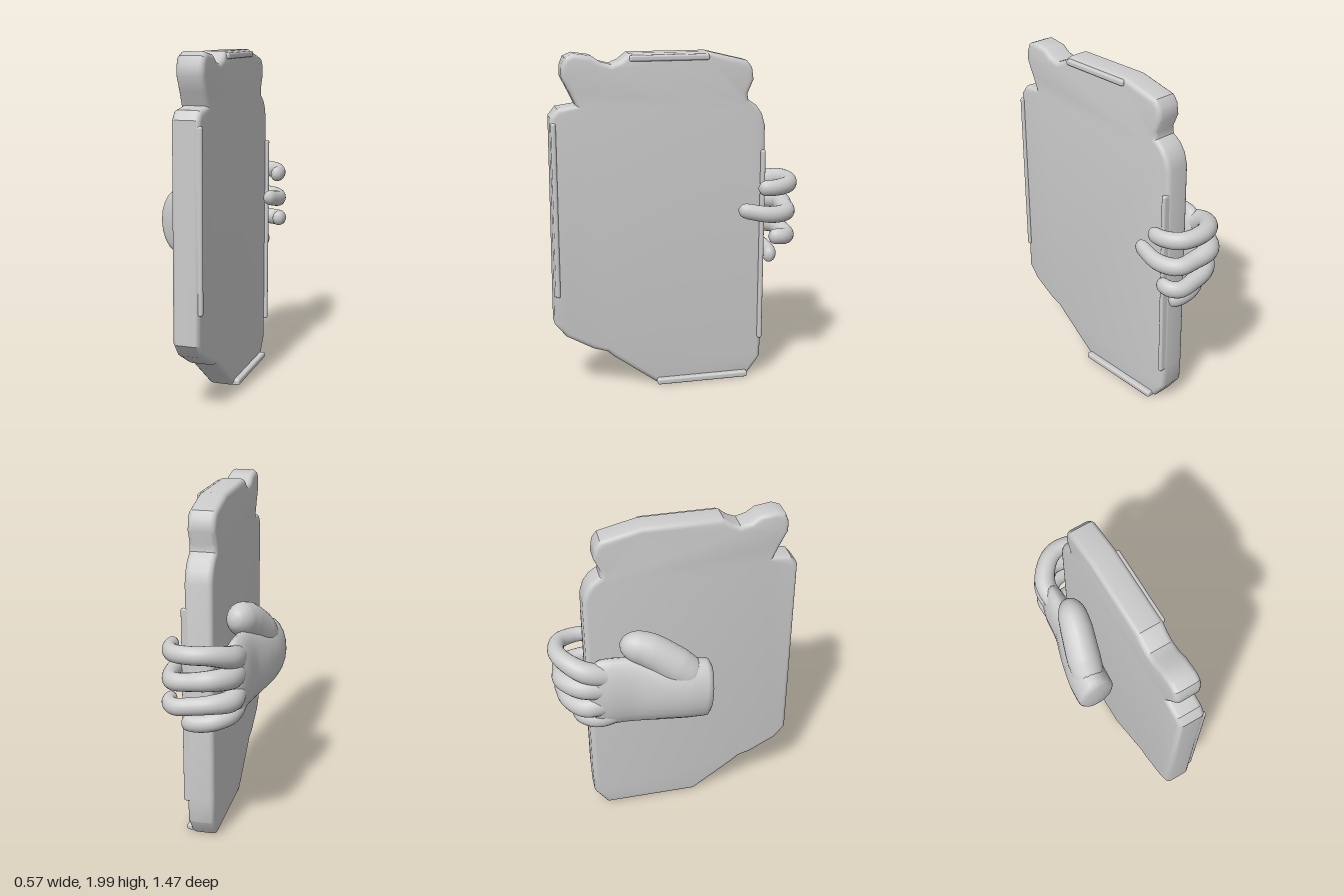
import * as THREE from 'three';
import { mergeVertices, toCreasedNormals } from 'three/addons/utils/BufferGeometryUtils.js';
import { RoundedBoxGeometry } from 'three/addons/geometries/RoundedBoxGeometry.js';

const material = new THREE.MeshStandardMaterial({ color: 0xcccccc });

function part(name, geometry) {
  const mesh = new THREE.Mesh(geometry, material);
  mesh.name = name;
  return mesh;
}

// Smooth limb along a path: radii are [horizontal, vertical] pairs spread evenly
// along the length, cap is the share of the length used to round each end
function limb(name, points, radii, cap = [0.05, 0.1]) {
  const path = new THREE.CatmullRomCurve3(points.map((p) => new THREE.Vector3(...p)));
  const rings = 40, sides = 20;
  const geometry = new THREE.TubeGeometry(path, rings, 1, sides);
  const pos = geometry.attributes.position;
  const v = new THREE.Vector3();
  for (let i = 0; i <= rings; i++) {
    const t = i / rings;
    const centre = path.getPointAt(t);
    const f = Math.min(t * (radii.length - 1), radii.length - 1.0001);
    const k = Math.floor(f);
    const mix = (n) => THREE.MathUtils.lerp(radii[k][n], radii[k + 1][n], f - k);
    const d = Math.max(1 - t / cap[0], 1 - (1 - t) / cap[1], 0);
    const round = Math.sqrt(Math.max(0, 1 - d * d));
    for (let j = 0; j <= sides; j++) {
      const n = i * (sides + 1) + j;
      v.fromBufferAttribute(pos, n).sub(centre);
      v.set(v.x * mix(0), v.y * mix(1), v.z * mix(0)).multiplyScalar(round).add(centre);
      pos.setXYZ(n, v.x, v.y, v.z);
    }
  }
  geometry.deleteAttribute('uv');
  geometry.deleteAttribute('normal');
  const merged = mergeVertices(geometry, 1e-4);
  merged.computeVertexNormals();
  return part(name, merged);
}

// Worn slab: outline points are [-z, y]
function slab() {
  const outline = [
    [-0.66, 1.93], [-0.64, 1.98], [-0.59, 2], [-0.49, 1.985], [-0.44, 1.95], [-0.38, 1.935],
    [-0.33, 1.955], [-0.28, 1.995], [0.18, 1.995], [0.41, 1.94], [0.44, 1.9], [0.45, 1.83],
    [0.415, 1.75], [0.42, 1.715], [0.47, 1.68], [0.505, 1.63], [0.525, 1.56], [0.525, 0.27],
    [0.52, 0.12], [0.44, 0.01], [-0.13, 0.01], [-0.39, 0.2], [-0.43, 0.235], [-0.51, 0.26],
    [-0.67, 0.35], [-0.735, 0.43], [-0.73, 1.65], [-0.69, 1.7], [-0.585, 1.715], [-0.62, 1.79],
    [-0.66, 1.87],
  ];
  const shape = new THREE.Shape(outline.map(([u, y]) => new THREE.Vector2(u, y)));
  const geometry = new THREE.ExtrudeGeometry(shape, {
    depth: 0.1, bevelThickness: 0.03, bevelSize: 0.028, bevelOffset: -0.028, bevelSegments: 4,
  });
  geometry.rotateY(Math.PI / 2).translate(0.038, 0, 0);
  return part('slab', toCreasedNormals(geometry, 0.6));
}

// Raised lip along one straight edge of the slab
function lip(name, y0, y1, z0, z1, top) {
  const geometry = new RoundedBoxGeometry(top - 0.1, y1 - y0, z1 - z0, 3, 0.012);
  geometry.translate((top + 0.1) / 2, (y0 + y1) / 2, (z0 + z1) / 2);
  return part(name, geometry);
}

function hand() {
  const group = new THREE.Group();
  group.name = 'hand';

  // Palm runs from the cut wrist to the knuckles
  group.add(limb('palm',
    [[-0.165, 0.99, 0.195], [-0.16, 1, 0.05], [-0.135, 1.0, -0.12], [-0.11, 1.01, -0.28],
      [-0.1, 1.01, -0.42], [-0.08, 1.01, -0.56]],
    [[0.115, 0.195], [0.115, 0.205], [0.105, 0.21], [0.085, 0.23], [0.08, 0.235], [0.06, 0.22]],
    [0.06, 0.14]));
  group.add(limb('thumb',
    [[-0.17, 1.05, 0.12], [-0.14, 1.17, -0.03], [-0.1, 1.27, -0.18], [-0.065, 1.32, -0.34]],
    [[0.09, 0.1], [0.1, 0.12], [0.095, 0.11], [0.075, 0.085]], [0.2, 0.2]));

  // Fingers curl round the back edge of the slab
  const fingers = [
    ['indexFinger', [[-0.1, 1.12, -0.38], [-0.1, 1.17, -0.55], [-0.01, 1.21, -0.66],
      [0.08, 1.215, -0.69], [0.19, 1.21, -0.66], [0.24, 1.205, -0.57], [0.24, 1.205, -0.46]]],
    ['middleFinger', [[-0.1, 1.04, -0.38], [-0.1, 1.06, -0.57], [-0.01, 1.07, -0.67],
      [0.1, 1.055, -0.67], [0.2, 1.045, -0.65], [0.245, 1.045, -0.54], [0.22, 1.08, -0.345]]],
    ['ringFinger', [[-0.1, 0.94, -0.38], [-0.1, 0.92, -0.56], [-0.01, 0.92, -0.64],
      [0.09, 0.91, -0.66], [0.19, 0.9, -0.66], [0.235, 0.905, -0.62], [0.235, 0.91, -0.53]]],
    ['littleFinger', [[-0.1, 0.87, -0.34], [-0.08, 0.81, -0.49], [-0.02, 0.79, -0.56],
      [0.06, 0.775, -0.58], [0.13, 0.77, -0.575], [0.17, 0.77, -0.545]]],
  ];
  const taper = [[0.06, 0.075], [0.062, 0.065], [0.052, 0.052], [0.045, 0.05], [0.036, 0.045]];
  for (const [name, points] of fingers) group.add(limb(name, points, taper, [0.05, 0.07]));
  return group;
}

export function createModel() {
  const model = new THREE.Group();
  model.name = 'handHoldingSlab';
  model.add(
    slab(),
    lip('topLip', 1.95, 1.985, -0.18, 0.28, 0.182),
    lip('bottomLip', 0.008, 0.045, -0.43, 0.13, 0.2),
    lip('frontLip', 0.6, 1.62, 0.7, 0.728, 0.18),
    lip('backLip', 0.25, 1.42, -0.522, -0.495, 0.19),
    hand(),
  );
  return model;
}
